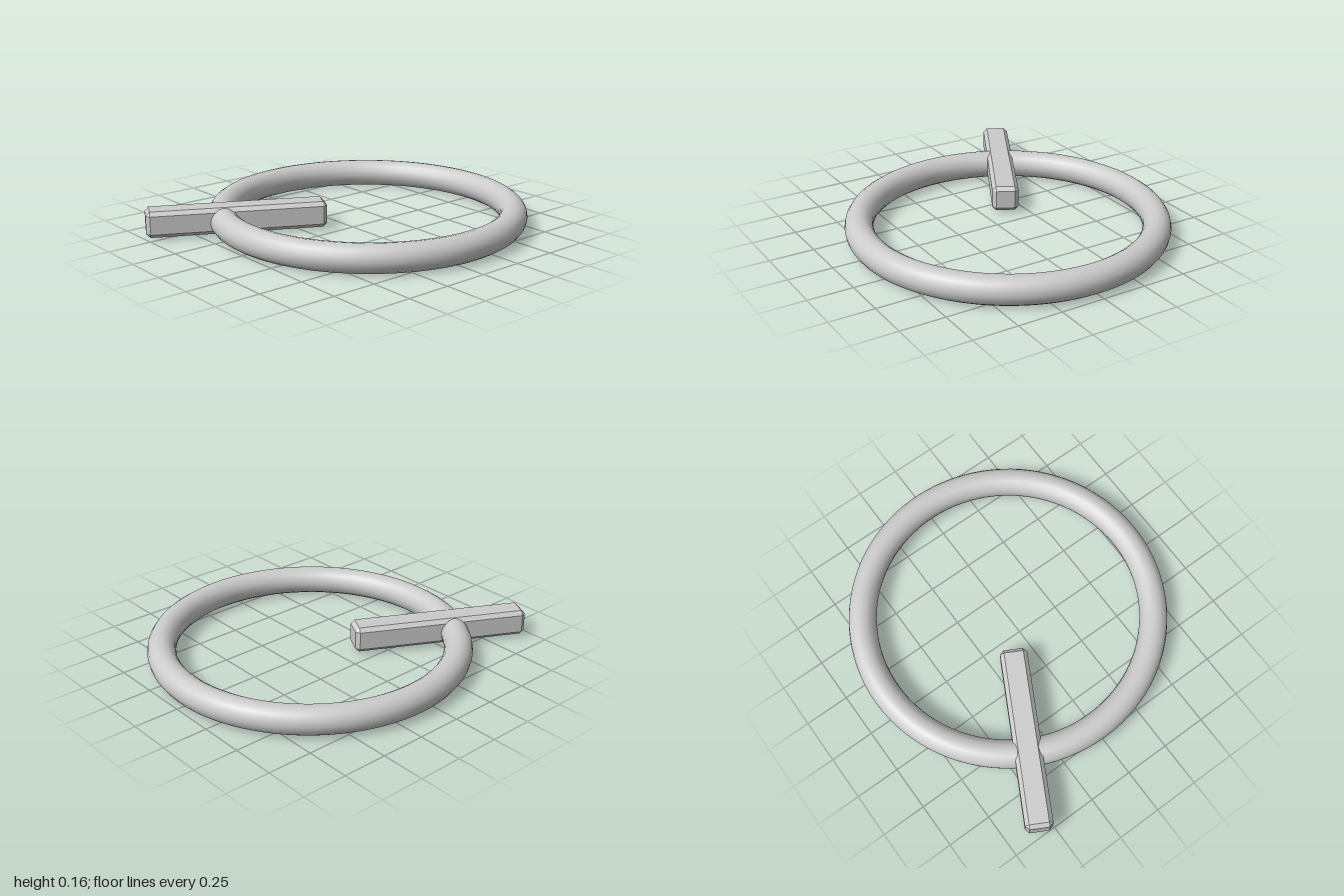
import * as THREE from 'three';
import { ConvexGeometry } from 'three/addons/geometries/ConvexGeometry.js';

// Box with every edge and corner chamfered by c
function chamferedBox(length, height, width, c) {
  const [x, y, z] = [length / 2, height / 2, width / 2];
  const points = [];
  for (const sx of [-1, 1]) for (const sy of [-1, 1]) for (const sz of [-1, 1]) {
    points.push(
      new THREE.Vector3(sx * x, sy * (y - c), sz * (z - c)),
      new THREE.Vector3(sx * (x - c), sy * y, sz * (z - c)),
      new THREE.Vector3(sx * (x - c), sy * (y - c), sz * z)
    );
  }
  return new ConvexGeometry(points);
}

export function createModel() {
  const model = new THREE.Group();
  model.name = 'ringWithBar';

  // Round ring lying flat
  const ring = new THREE.Mesh(
    new THREE.TorusGeometry(0.812, 0.078, 16, 96).rotateX(-Math.PI / 2),
    new THREE.MeshStandardMaterial({ color: 0xcccccc })
  );
  ring.name = 'ring';
  ring.position.set(0.108, 0.079, 0);
  model.add(ring);

  // Straight bar crossing the ring at the back right
  const bar = new THREE.Mesh(
    chamferedBox(0.99, 0.146, 0.15, 0.022),
    new THREE.MeshStandardMaterial({ color: 0xcccccc, flatShading: true })
  );
  bar.name = 'crossBar';
  bar.position.set(-0.54, 0.087, -0.35);
  bar.rotation.y = -0.488;
  model.add(bar);

  return model;
}
